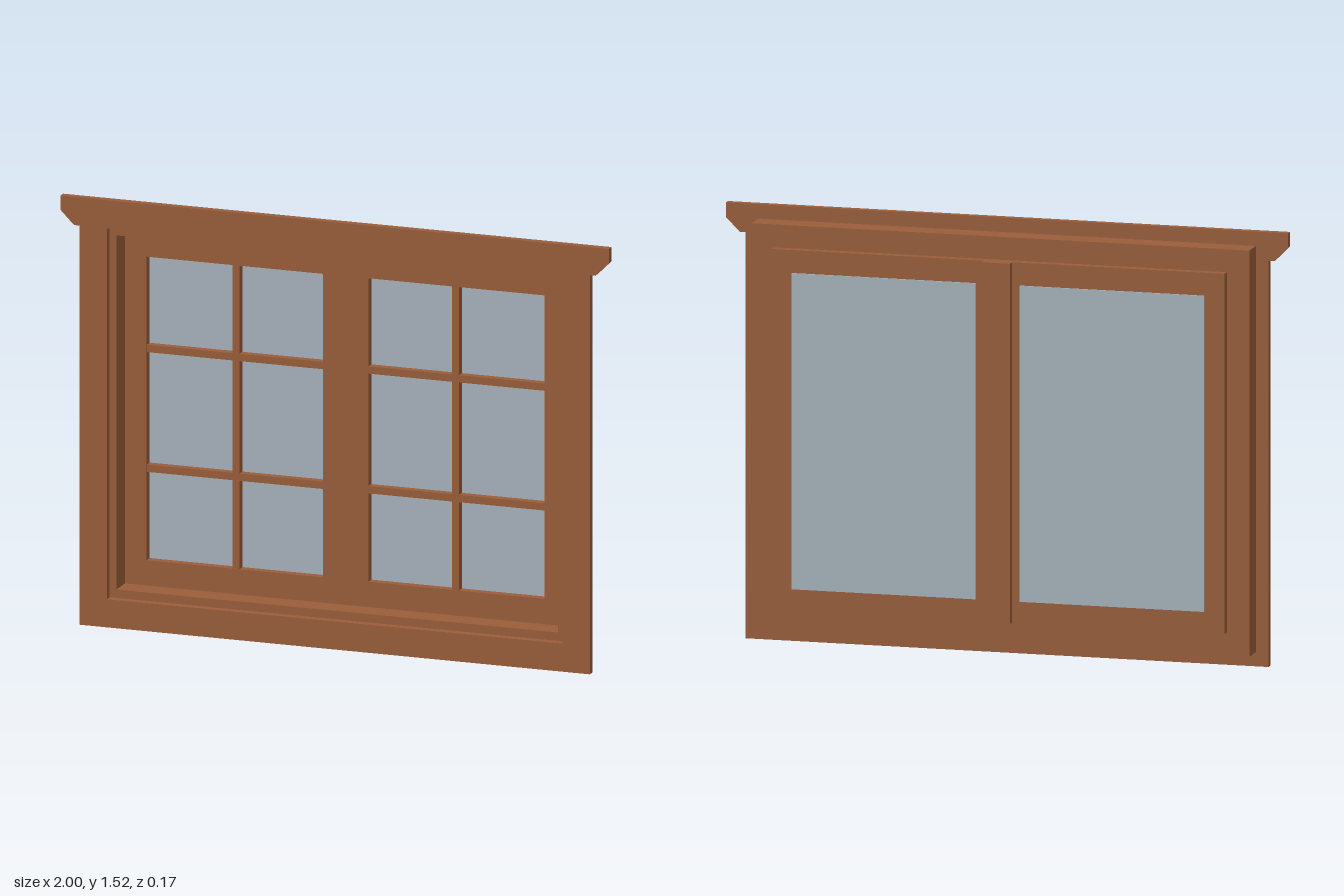
import * as THREE from 'three';

export function createModel() {
  const model = new THREE.Group();
  model.name = 'casementWindow';

  const wood = new THREE.MeshStandardMaterial({ color: 0x9a5e3a });
  wood.name = 'brown wood';
  const glass = new THREE.MeshStandardMaterial({ color: 0xa8b4bd });
  glass.name = 'grey blue glass';

  // Box given by its minimum and maximum on each axis
  function slab(parent, name, [x0, x1], [y0, y1], [z0, z1], material = wood) {
    const mesh = new THREE.Mesh(new THREE.BoxGeometry(x1 - x0, y1 - y0, z1 - z0), material);
    mesh.position.set((x0 + x1) / 2, (y0 + y1) / 2, (z0 + z1) / 2);
    mesh.name = name;
    parent.add(mesh);
    return mesh;
  }

  // Front casing: apron, side boards and head board with clipped lower corners
  const casingZ = [0.058, 0.085];
  slab(model, 'apronBoard', [-0.93, 0.93], [0, 0.1], casingZ);
  slab(model, 'leftCasing', [0.83, 0.93], [0.1, 1.42], casingZ);
  slab(model, 'rightCasing', [-0.93, -0.83], [0.1, 1.42], casingZ);

  const headShape = new THREE.Shape([
    [-0.95, 1.42], [0.95, 1.42], [1, 1.47], [1, 1.52], [-1, 1.52], [-1, 1.47],
  ].map(([x, y]) => new THREE.Vector2(x, y)));
  const head = new THREE.Mesh(
    new THREE.ExtrudeGeometry(headShape, { depth: casingZ[1] - casingZ[0], bevelEnabled: false }), wood);
  head.position.z = casingZ[0];
  head.name = 'headCasing';
  model.add(head);

  // Deep frame lining the opening
  const frameZ = [-0.025, 0.058];
  slab(model, 'frameSill', [-0.885, 0.885], [0.05, 0.13], frameZ);
  slab(model, 'frameHead', [-0.885, 0.885], [1.39, 1.47], frameZ);
  slab(model, 'leftJamb', [0.805, 0.885], [0.13, 1.39], frameZ);
  slab(model, 'rightJamb', [-0.885, -0.805], [0.13, 1.39], frameZ);

  // Two mirrored sashes with a two by three grid of panes
  const sashZ = [-0.055, -0.025];
  const barZ = [-0.055, -0.027];
  for (const [side, s] of [['left', 1], ['right', -1]]) {
    const sash = new THREE.Group();
    sash.name = side + 'Sash';
    model.add(sash);
    const span = (a, b) => (s > 0 ? [a, b] : [-b, -a]);

    slab(sash, 'meetingStile', span(0, 0.083), [0.13, 1.39], sashZ);
    slab(sash, 'outerStile', span(0.725, 0.805), [0.13, 1.39], sashZ);
    slab(sash, 'bottomRail', span(0.083, 0.725), [0.13, 0.22], sashZ);
    slab(sash, 'topRail', span(0.083, 0.725), [1.3, 1.39], sashZ);

    slab(sash, 'verticalGlazingBar', span(0.387, 0.413), [0.22, 1.3], barZ);
    for (const y of [0.547, 0.973]) {
      slab(sash, 'horizontalGlazingBar', span(0.083, 0.387), [y - 0.013, y + 0.013], barZ);
      slab(sash, 'horizontalGlazingBar', span(0.413, 0.725), [y - 0.013, y + 0.013], barZ);
    }
    slab(sash, 'glassPane', span(0.078, 0.733), [0.205, 1.31], [-0.061, -0.055], glass);
  }

  // Cover strip over the meeting stiles at the back
  slab(model, 'coverStrip', [-0.05, 0.05], [0.13, 1.39], [-0.085, -0.055]);

  return model;
}
